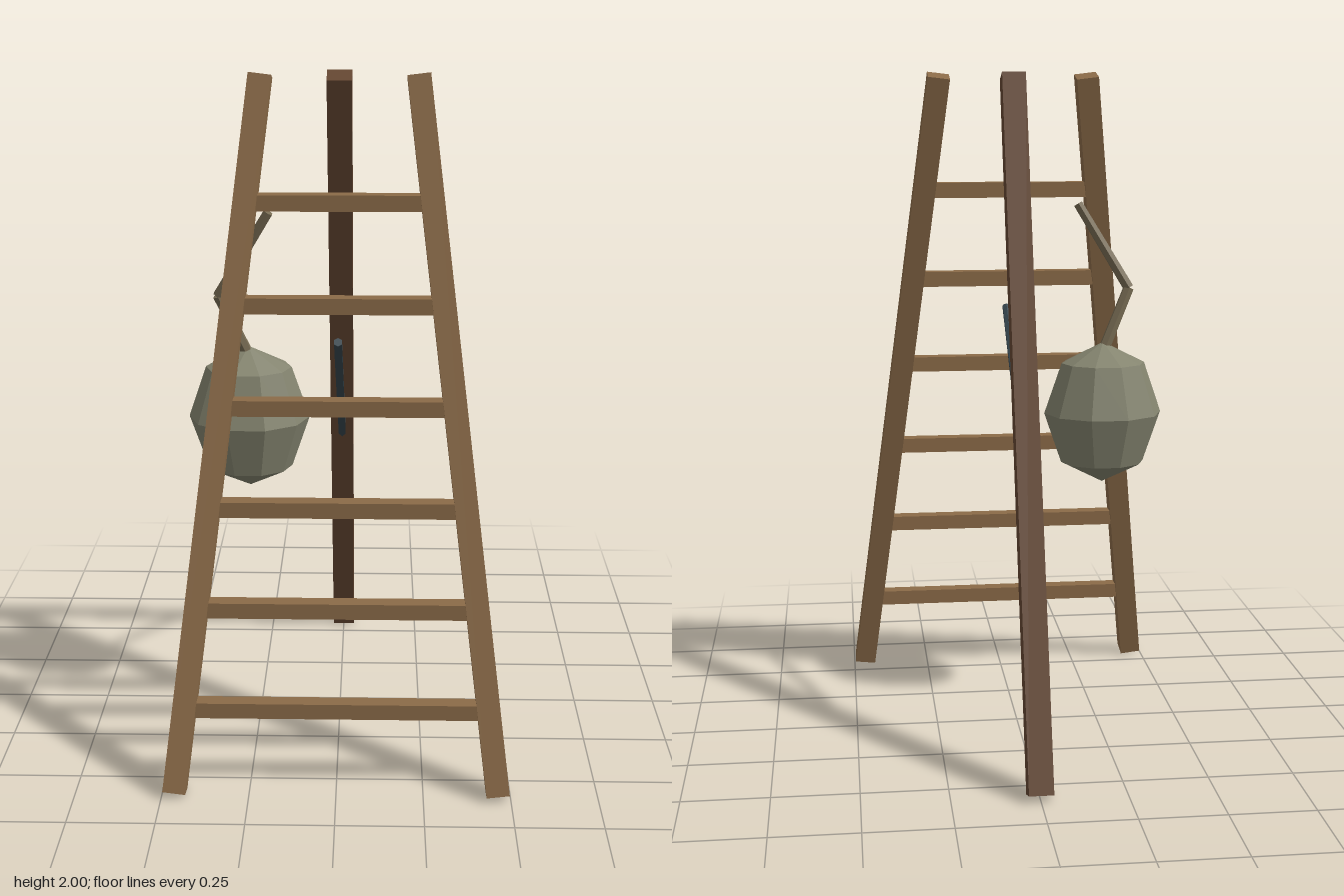
import * as THREE from 'three';

const material = (name, color) => {
  const m = new THREE.MeshStandardMaterial({ color, flatShading: true });
  m.name = name;
  return m;
};

export function createModel() {
  const group = new THREE.Group();
  const lightWood = material('light wood', 0x8b6b48);
  const darkWood = material('dark wood', 0x654732);
  const iron = material('dark iron', 0x37474f);
  const paleGrey = material('pale grey', 0x84846f);
  const stalk = material('stalk brown', 0x766a52);

  const add = (name, geometry, mat) => {
    const mesh = new THREE.Mesh(geometry, mat);
    mesh.name = name;
    group.add(mesh);
    return mesh;
  };

  // Places a part that is built along y so it runs from a to b
  const span = (name, a, b, makeGeometry, mat) => {
    const from = new THREE.Vector3(...a), to = new THREE.Vector3(...b);
    const dir = to.clone().sub(from);
    const mesh = add(name, makeGeometry(dir.length()), mat);
    mesh.position.copy(from).add(to).multiplyScalar(0.5);
    mesh.quaternion.setFromUnitVectors(new THREE.Vector3(0, 1, 0), dir.normalize());
    return mesh;
  };
  const beam = (size) => (length) => new THREE.BoxGeometry(size, length, size);
  const rod = (top, bottom, sides) => (length) =>
    new THREE.CylinderGeometry(top, bottom, length, sides);

  // Side rails, converging and leaning back
  const foot = { x: 0.463, y: 0.012, z: 0.593 };
  const tip = { x: 0.222, y: 1.988, z: 0.108 };
  for (const [name, s] of [['leftRail', 1], ['rightRail', -1]]) {
    span(name, [s * foot.x, foot.y, foot.z], [s * tip.x, tip.y, tip.z], beam(0.066), lightWood);
  }

  // Rungs between the rails
  for (let i = 0; i < 6; i++) {
    const y = 0.248 + i * 0.2795;
    const t = (y - foot.y) / (tip.y - foot.y);
    const halfWidth = THREE.MathUtils.lerp(foot.x, tip.x, t);
    const rung = add('rung' + (i + 1), new THREE.BoxGeometry(halfWidth * 2, 0.046, 0.046), lightWood);
    rung.position.set(0, y, THREE.MathUtils.lerp(foot.z, tip.z, t));
  }

  // Single rear leg and the bar that braces it
  span('backLeg', [0, 0.012, -0.592], [0, 1.988, 0.108], beam(0.071), darkWood);
  span('spreaderBar', [0, 0.785, -0.31], [0, 1.27, 0.305], rod(0.013, 0.013, 6), iron);

  // Faceted hanging body with a bent stem
  const body = add('hangingBody', new THREE.SphereGeometry(1, 10, 4), paleGrey);
  body.scale.set(0.181, 0.219, 0.154);
  body.position.set(-0.272, 0.97, 0.055);
  const bend = [-0.355, 1.35, 0.088];
  span('lowerStem', [-0.272, 1.16, 0.055], bend, rod(0.017, 0.018, 6), stalk);
  span('upperStem', bend, [-0.203, 1.605, 0.132], rod(0.015, 0.017, 6), stalk);

  return group;
}
